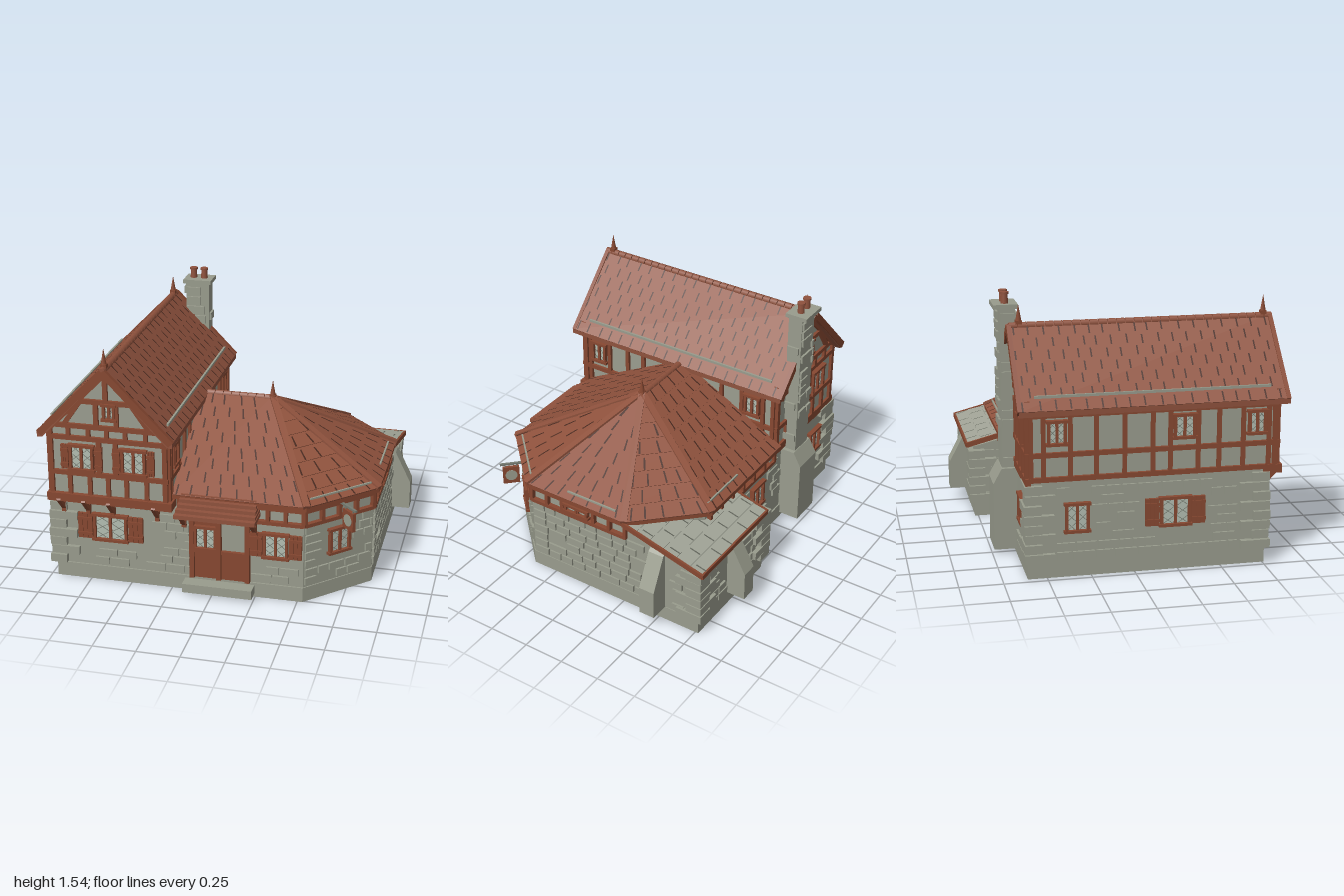
import * as THREE from 'three';

const material = (name, color, side = THREE.FrontSide) => {
  const m = new THREE.MeshStandardMaterial({ color, side });
  m.name = name;
  return m;
};

export function createModel() {
  const root = new THREE.Group();
  root.name = 'cottage';
  const stone = material('stone', 0x999c8d), plaster = material('plaster', 0x9a9d8f);
  const wood = material('timber', 0x874831), tile = material('roofTile', 0x8f523d, THREE.DoubleSide);
  const slate = material('slate', 0xa1a497, THREE.DoubleSide), glass = material('glass', 0xb4beb2);
  const gap = material('tileGap', 0x48291f, THREE.DoubleSide), slateGap = material('slateGap', 0x62655b, THREE.DoubleSide);
  const metal = material('lead', 0x757b71);
  let seed = 7;
  const rand = () => (seed = (seed * 16807) % 2147483647) / 2147483647;
  const V = (x, y, z) => new THREE.Vector3(x, y, z);

  const add = (parent, name, geo, mat) => {
    const m = new THREE.Mesh(geo, mat);
    m.name = name;
    parent.add(m);
    return m;
  };
  // box from min and max corners
  const box = (parent, name, mat, x0, x1, y0, y1, z0, z1) => {
    const m = add(parent, name, new THREE.BoxGeometry(x1 - x0, y1 - y0, z1 - z0), mat);
    m.position.set((x0 + x1) / 2, (y0 + y1) / 2, (z0 + z1) / 2);
  };
  // box running from p to q in the parent's own frame
  const bar = (parent, name, mat, p, q, w, h = w) => {
    const m = add(parent, name, new THREE.BoxGeometry(w, h, p.distanceTo(q)), mat);
    m.position.copy(p).lerp(q, 0.5);
    m.quaternion.setFromRotationMatrix(new THREE.Matrix4().lookAt(q, p, V(0, 1, 0)));
  };
  const extrude = (pts, depth) => new THREE.ExtrudeGeometry(
    new THREE.Shape(pts.map(p => new THREE.Vector2(...p))), { depth, bevelEnabled: false });
  const slab = (name, mat, pts, y0, y1) =>
    add(root, name, extrude(pts.map(([x, z]) => [x, -z]), y1 - y0).rotateX(-Math.PI / 2).translate(0, y0, 0), mat);
  const prismZ = (name, mat, pts, z0, z1) => add(root, name, extrude(pts, z1 - z0).translate(0, 0, z0), mat);
  const prismX = (name, mat, pts, x0, x1) =>
    add(root, name, extrude(pts.map(([z, y]) => [-z, y]), x1 - x0).rotateY(Math.PI / 2).translate(x0, 0, 0), mat);

  // roof plane between eave a-b and ridge d-c, with dark joints; lip > 0 gives stepped courses
  const roofFace = (name, a, b, c, d, rows, pitch, lip = 0, mat = tile, jointMat = gap) => {
    const n = b.clone().sub(a).cross(d.clone().sub(a)).normalize();
    const at = (s, t, lift) => a.clone().lerp(b, s).lerp(d.clone().lerp(c, s), t).addScaledVector(n, lift);
    const pos = [], joints = [];
    const quad = (out, ...p) => [0, 1, 2, 0, 2, 3].forEach(i => out.push(p[i].x, p[i].y, p[i].z));
    const courses = lip ? rows : 1, base = 0.004;
    for (let i = 0; i < courses; i++) {
      const t0 = i / courses, t1 = (i + 1) / courses;
      quad(pos, at(0, t0, base + lip), at(1, t0, base + lip), at(1, t1, base), at(0, t1, base));
      quad(pos, at(0, t0, 0), at(1, t0, 0), at(1, t0, base + lip), at(0, t0, base + lip));
    }
    for (let i = 0; i < rows; i++) {
      const t0 = i / rows, len = at(0, t0 + 1 / rows, 0).distanceTo(at(1, t0 + 1 / rows, 0)), count = Math.floor(len / pitch);
      for (let k = 0; k < count; k++) {
        const s = (k + 0.2 + 0.45 * (i % 2) + 0.25 * rand()) / count, e = 0.0045 / len;
        const ta = t0 + 0.1 * rand() / rows, tb = ta + 0.75 / rows, up = base + lip + 0.002;
        if (s < 0.98) quad(joints, at(s - e, ta, up), at(s + e, ta, up), at(s + e, tb, up), at(s - e, tb, up));
      }
    }
    [[pos, mat, name], [joints, jointMat, name + 'Joints']].forEach(([p, m, label]) => {
      const g = new THREE.BufferGeometry();
      g.setAttribute('position', new THREE.Float32BufferAttribute(p, 3));
      g.computeVertexNormals();
      add(root, label, g, m);
    });
  };

  // wall frame: local x along the wall, local z outward
  const wall = (name, x, z, turn) => {
    const g = new THREE.Group();
    g.name = name;
    g.position.set(x, 0, z);
    g.rotation.y = turn;
    root.add(g);
    return g;
  };
  const stones = (w, x0, x1, y0, y1, density, holes = []) => {
    const n = Math.round((y1 - y0) / 0.057), h = (y1 - y0) / n;
    for (let r = 0; r < n; r++) {
      const y = y0 + r * h;
      for (let x = x0; x < x1 - 0.02;) {
        const e = Math.min(x1, x + 0.075 + rand() * 0.065), s = x;
        x = e;
        const hit = holes.some(([hx, hy, hw, hh]) => e > hx - hw / 2 && s < hx + hw / 2 && y + h > hy - hh / 2 && y < hy + hh / 2);
        if (!hit && rand() < density) box(w, 'stoneBlock', stone, s + 0.005, e - 0.005, y + 0.005, y + h - 0.005, -0.01, 0.013);
      }
    }
  };
  const timbers = (w, list, t = 0.028) => list.forEach(([x0, y0, x1, y1]) =>
    bar(w, 'timberBeam', wood, V(x0, y0, 0.003), V(x1, y1, 0.003), ...(x0 === x1 ? [t, 0.03] : [0.03, t])));
  const leadedWindow = (w, x, y, W, H, shutter = 0) => {
    const g = new THREE.Group();
    g.name = 'window';
    g.position.set(x, y, 0);
    w.add(g);
    const a = W / 2, b = H / 2, f = 0.016;
    box(g, 'pane', glass, -a, a, -b, b, 0, 0.008);
    for (const s of [-1, 1]) {
      box(g, 'frameSide', wood, s * a - f / 2, s * a + f / 2, -b, b, 0, 0.026);
      box(g, 'frameRail', wood, -a - f, a + f, s * b - f / 2, s * b + f / 2, 0, 0.03);
      for (let k = 0; k < 3; k++) for (const d of [-1, 1]) {
        const y0 = -b + H * k / 3, y1 = y0 + H / 3;
        bar(g, 'leadLattice', metal, V(s * a * 0.06, d > 0 ? y0 : y1, 0.009), V(s * a, d > 0 ? y1 : y0, 0.009), 0.003);
      }
      if (shutter) {
        const c = s * (a + 0.014 + shutter / 2);
        for (const k of [-1, 0, 1])
          box(g, 'shutterPlank', wood, c + (k - 0.46) * shutter / 3, c + (k + 0.46) * shutter / 3, -b, b, 0, 0.018);
        for (const k of [-0.6, 0.6]) box(g, 'shutterBatten', wood, c - shutter / 2, c + shutter / 2, k * b - 0.008, k * b + 0.008, 0.015, 0.025);
      }
    }
    box(g, 'mullion', wood, -f / 2, f / 2, -b, b, 0, 0.022);
  };

  // plinth and masonry
  slab('plinth', stone, [[-0.96, 0.76], [0.53, 0.76], [0.88, 0.41], [0.88, -0.77], [0.16, -0.77], [0.16, -0.61], [-0.96, -0.61]], 0, 0.09);
  slab('groundWalls', stone, [[-0.96, 0.75], [0.53, 0.75], [0.875, 0.405], [0.875, -0.28], [0.54, -0.6], [-0.96, -0.6]], 0.09, 0.48);
  box(root, 'wingMasonry', stone, -0.96, -0.2, 0.48, 0.56, -0.6, 0.75);
  slab('timberBand', plaster, [[-0.24, 0.74], [0.525, 0.74], [0.865, 0.4], [0.865, -0.27], [0.53, -0.59], [-0.24, -0.59]], 0.48, 0.6);
  prismX('annexWalls', stone, [[-0.25, 0.09], [-0.77, 0.09], [-0.77, 0.45], [-0.25, 0.575]], 0.17, 0.875);
  box(root, 'upperFloor', plaster, -0.95, -0.25, 0.55, 0.97, -0.6, 0.82);
  prismZ('gables', plaster, [[-0.95, 0.965], [-0.25, 0.965], [-0.6, 1.345]], -0.6, 0.82);

  const front = wall('frontWall', 0, 0.75, 0), left = wall('leftWall', -0.96, 0, -Math.PI / 2);
  const right = wall('rightWall', 0.875, 0, Math.PI / 2), back = wall('backWall', 0, -0.6, Math.PI);
  const corner = wall('cornerWall', 0.7025, 0.5775, Math.PI / 4), annexBack = wall('annexBackWall', 0, -0.77, Math.PI);
  const annexSide = wall('annexSideWall', 0.17, 0, -Math.PI / 2);
  stones(front, -0.8, -0.14, 0.1, 0.53, 0.7, [[-0.62, 0.35, 0.42, 0.2]]);
  stones(front, 0.22, 0.53, 0.1, 0.48, 0.6, [[0.37, 0.35, 0.32, 0.18]]);
  stones(left, -0.45, 0.6, 0.1, 0.53, 0.85, [[-0.33, 0.35, 0.15, 0.2], [0.23, 0.35, 0.36, 0.2]]);
  stones(right, -0.4, 0.75, 0.1, 0.48, 0.97, [[0.5, 0.3, 0.12, 0.4]]);
  stones(corner, -0.24, 0.24, 0.1, 0.48, 0.95, [[0, 0.35, 0.18, 0.2]]);
  stones(back, -0.15, 0.8, 0.1, 0.5, 0.8, [[0.04, 0.35, 0.17, 0.2], [0.44, 0.3, 0.2, 0.6], [0.76, 0.35, 0.16, 0.2]]);
  stones(annexBack, -0.78, -0.26, 0.1, 0.43, 0.85, [[-0.52, 0.3, 0.1, 0.4]]);
  stones(annexSide, -0.74, -0.6, 0.1, 0.43, 0.8);
  leadedWindow(front, -0.62, 0.35, 0.19, 0.16, 0.09);
  leadedWindow(front, 0.37, 0.345, 0.13, 0.15, 0.075);
  leadedWindow(left, -0.33, 0.35, 0.12, 0.16);
  leadedWindow(left, 0.23, 0.35, 0.16, 0.16, 0.08);
  leadedWindow(corner, 0, 0.345, 0.13, 0.15);
  leadedWindow(back, 0.04, 0.35, 0.12, 0.15);
  leadedWindow(back, 0.76, 0.35, 0.12, 0.15);

  // alternating corner stones
  for (const [x, z, sx, sz, top] of [[-0.96, 0.75, -1, 1, 0.55], [-0.96, -0.6, -1, -1, 0.55], [0.875, -0.77, 1, -1, 0.44], [0.155, -0.775, -1, -1, 0.44]])
    for (let y = 0.095, i = 0; y + 0.05 < top; y += 0.057, i++) {
      const w = i % 2 ? 0.17 : 0.1, d = i % 2 ? 0.1 : 0.17, o = 0.022 + 0.012 * rand();
      const m = add(root, 'cornerStone', new THREE.BoxGeometry(w, 0.051, d), stone);
      m.position.set(x + sx * (o - w / 2), y + 0.027, z + sz * (o - d / 2));
    }

  // upper floor half-timbering
  for (const [z, turn] of [[0.82, 0], [-0.6, Math.PI]]) {
    const g = wall('gableWall', -0.6, z, turn);
    timbers(g, [[-0.37, 0.56, 0.37, 0.56]], 0.05);
    timbers(g, [[-0.36, 0.715, 0.36, 0.715], [-0.36, 0.935, 0.36, 0.935], [-0.36, 1.01, 0.36, 1.01], [-0.18, 1.165, 0.18, 1.165],
      [0, 1.165, 0, 1.32], [-0.06, 1.01, -0.06, 1.165], [0.06, 1.01, 0.06, 1.165], [-0.25, 1.02, -0.15, 1.165], [0.25, 1.02, 0.15, 1.165],
      [-0.05, 0.72, -0.05, 0.935], [0.05, 0.72, 0.05, 0.935]]);
    for (const x of [-0.23, -0.11, 0, 0.11, 0.23]) timbers(g, [[x, 0.58, x, 0.715], [x, 0.935, x, 1.01]], 0.025);
    for (const s of [-1, 1]) {
      timbers(g, [[s * 0.34, 0.56, s * 0.34, 0.99], [s * 0.35, 0.975, 0, 1.335]]);
      if (turn === 0 || s > 0) leadedWindow(g, s * 0.155, 0.815, 0.13, 0.15, turn === 0 ? 0.045 : 0);
      // bargeboards
      bar(g, 'bargeboard', wood, V(s * 0.39, 0.965, 0.048), V(0, 1.365, 0.048), 0.025, 0.04);
    }
    leadedWindow(g, 0.02, 1.11, 0.06, 0.09);
  }
  for (const [x, turn, s] of [[-0.95, -Math.PI / 2, 1], [-0.25, Math.PI / 2, -1]]) {
    const g = wall('upperSideWall', x, 0, turn);
    timbers(g, [0.575, 0.715, 0.94].map(y => [s * -0.6, y, s * 0.82, y]));
    for (const z of [-0.585, -0.515, -0.365, -0.22, -0.06, 0.1, 0.2, 0.36, 0.48, 0.62, 0.77, 0.805])
      timbers(g, [[s * z, 0.57, s * z, 0.95]], 0.024);
    for (const z of [-0.44, 0.7]) leadedWindow(g, s * z, 0.84, 0.09, 0.13);
    if (s > 0) leadedWindow(g, 0.28, 0.84, 0.11, 0.13);
  }
  for (const x of [-0.9, -0.75, -0.6, -0.33, -0.18]) {
    box(root, 'corbelPost', wood, x - 0.012, x + 0.012, 0.43, 0.55, 0.75, 0.775);
    bar(root, 'corbel', wood, V(x, 0.46, 0.765), V(x, 0.55, 0.85), 0.024);
  }
  box(root, 'jettyBeam', wood, -0.97, -0.22, 0.535, 0.585, 0.74, 0.85);

  // low wing timber band
  for (const [w, x0, x1, n] of [[front, -0.2, 0.53, 7], [corner, -0.24, 0.24, 4], [right, -0.4, 0.27, 6], [back, -0.5, 0.24, 6]]) {
    timbers(w, [[x0, 0.487, x1, 0.487], [x0, 0.578, x1, 0.578]], 0.022);
    for (let i = 0; i <= n; i++) {
      const x = x0 + (x1 - x0) * i / n;
      timbers(w, [[x, 0.48, x, 0.59]], 0.022);
    }
  }
  leadedWindow(right, -0.07, 0.54, 0.15, 0.045);

  // tall wing roof
  const E = 0.975, R = 1.375;
  prismZ('tallRoof', tile, [[-1, E], [-1, E - 0.03], [-0.97, E - 0.03], [-0.6, R - 0.035], [-0.23, E - 0.03], [-0.2, E - 0.03], [-0.2, E], [-0.6, R]], -0.65, 0.88);
  roofFace('tallRoofRight', V(-0.2, E, 0.88), V(-0.2, E, -0.65), V(-0.6, R, -0.65), V(-0.6, R, 0.88), 7, 0.085);
  roofFace('tallRoofLeft', V(-1, E, -0.65), V(-1, E, 0.88), V(-0.6, R, 0.88), V(-0.6, R, -0.65), 7, 0.085);
  const ridgeTile = (x, y, z, along) => {
    const m = add(root, 'ridgeTile', new THREE.CylinderGeometry(0.022, 0.022, 0.046, 8), tile);
    m.position.set(x, y, z);
    m.rotation[along === 'z' ? 'x' : 'z'] = Math.PI / 2;
  };
  for (let i = 0; i < 30; i++) ridgeTile(-0.6, R - 0.008, -0.622 + i * 0.051, 'z');
  for (let i = 0; i < 8; i++) ridgeTile(-0.18 + i * 0.051, 0.977, 0.07, 'x');
  for (const x of [-0.945, -0.255]) box(root, 'snowRail', stone, x - 0.006, x + 0.006, 1.035, 1.05, -0.56, 0.78);
  for (const [x, y, z] of [[-0.6, 1.38, 0.83], [-0.6, 1.38, -0.59], [0.2, 0.98, 0.07]]) {
    add(root, 'finialBase', new THREE.BoxGeometry(0.035, 0.04, 0.035), wood).position.set(x, y, z);
    add(root, 'finial', new THREE.ConeGeometry(0.018, 0.1, 8), wood).position.set(x, y + 0.062, z);
  }

  // hipped roof
  const eave = [[-0.24, 0.78], [0.55, 0.78], [0.91, 0.42], [0.91, -0.28], [0.55, -0.65], [-0.24, -0.65]];
  slab('hipEaves', wood, eave, 0.588, 0.613);
  const apex = V(0.2, 0.985, 0.07), start = V(-0.24, 0.985, 0.07), P = eave.map(([x, z]) => V(x, 0.613, z));
  [[apex, start, 0], [apex, apex, 0.004], [apex, apex, 0], [apex, apex, 0.004], [start, apex, 0.003]].forEach(([c, d, lip], i) =>
    roofFace('hipRoof', P[i], P[i + 1], c, d, 8, 0.08, lip));
  for (let i = 1; i < 5; i++) bar(root, 'hipTiles', tile, P[i].clone().add(V(0, 0.004, 0)), apex, 0.04, 0.024);
  bar(root, 'snowRail', stone, V(0.56, 0.645, 0.72), V(0.86, 0.645, 0.42), 0.01);
  box(root, 'snowRail', stone, 0.2, 0.53, 0.645, 0.655, -0.61, -0.6);
  box(root, 'snowRail', stone, 0.868, 0.878, 0.638, 0.648, -0.2, 0.14);

  // lean-to roof with buttresses
  prismX('annexRoof', slate, [[-0.27, 0.598], [-0.27, 0.57], [-0.81, 0.435], [-0.81, 0.46]], 0.19, 0.9);
  roofFace('annexSlates', V(0.9, 0.46, -0.81), V(0.19, 0.46, -0.81), V(0.19, 0.598, -0.27), V(0.9, 0.598, -0.27), 6, 0.12, 0.004, slate, slateGap);
  for (const x of [0.19, 0.905]) bar(root, 'annexVerge', wood, V(x, 0.455, -0.81), V(x, 0.595, -0.27), 0.014, 0.03);
  box(root, 'annexEave', wood, 0.185, 0.91, 0.44, 0.47, -0.815, -0.803);
  prismX('backButtress', stone, [[-0.75, 0.09], [-0.89, 0.09], [-0.89, 0.27], [-0.8, 0.44], [-0.75, 0.44]], 0.47, 0.57);
  prismZ('sideButtress', stone, [[0.86, 0.09], [0.995, 0.09], [0.995, 0.27], [0.895, 0.47], [0.86, 0.5]], -0.54, -0.44);

  // chimney
  prismX('chimneyBase', stone, [[-0.58, 0.03], [-0.74, 0.03], [-0.74, 0.43], [-0.69, 0.52], [-0.58, 0.52]], -0.54, -0.34);
  box(root, 'chimneyStack', stone, -0.515, -0.365, 0.5, 1.455, -0.685, -0.595);
  stones(wall('chimneyBack', -0.44, -0.685, Math.PI), -0.075, 0.075, 0.53, 1.43, 0.5);
  stones(wall('chimneyFront', -0.44, -0.595, 0), -0.075, 0.075, 1.18, 1.43, 0.5);
  for (const s of [-1, 1]) stones(wall('chimneySide', -0.44 + s * 0.075, -0.64, s * Math.PI / 2), -0.045, 0.045, 0.53, 1.43, 0.5);
  box(root, 'chimneyCap', stone, -0.53, -0.35, 1.45, 1.475, -0.72, -0.58);
  for (const x of [-0.477, -0.408]) {
    add(root, 'chimneyPot', new THREE.CylinderGeometry(0.018, 0.022, 0.07, 10), tile).position.set(x, 1.505, -0.65);
    add(root, 'potRim', new THREE.CylinderGeometry(0.025, 0.025, 0.012, 10), tile).position.set(x, 1.535, -0.65);
  }

  // doorway, step and porch
  box(root, 'doorStep', stone, -0.17, 0.245, 0.02, 0.075, 0.74, 0.84);
  box(front, 'doorLower', wood, -0.12, 0.2, 0.09, 0.265, 0, 0.012);
  box(front, 'doorUpper', wood, -0.12, 0.03, 0.265, 0.47, 0, 0.005);
  for (const x of [-0.125, 0.035, 0.205]) box(front, 'doorPost', wood, x - 0.014, x + 0.014, 0.09, 0.48, 0, 0.03);
  box(front, 'doorLintel', wood, -0.14, 0.22, 0.465, 0.5, 0, 0.03);
  box(front, 'doorRail', wood, -0.12, 0.2, 0.255, 0.275, 0, 0.022);
  leadedWindow(front, -0.045, 0.35, 0.12, 0.14);
  for (let i = 0; i < 5; i++)
    box(root, 'porchBoard', tile, -0.2 + i * 0.004, 0.275 - i * 0.004, 0.515 + i * 0.021, 0.54 + i * 0.021, 0.73, 0.89 - i * 0.028);
  for (const x of [-0.17, 0.245]) {
    box(root, 'porchPost', wood, x - 0.013, x + 0.013, 0.41, 0.52, 0.75, 0.775);
    bar(root, 'porchBrace', wood, V(x, 0.43, 0.765), V(x, 0.525, 0.865), 0.022);
  }

  // hanging sign
  const sign = wall('hangingSign', 0.705, 0.58, Math.PI / 4);
  box(sign, 'signArm', metal, -0.007, 0.007, 0.575, 0.587, 0, 0.16);
  box(sign, 'signBoard', wood, -0.01, 0.01, 0.445, 0.56, 0.045, 0.145);
  for (const s of [-1, 1]) {
    const disc = add(sign, 'signDisc', new THREE.CylinderGeometry(0.036, 0.036, 0.004, 20), stone);
    disc.rotation.z = Math.PI / 2;
    disc.position.set(s * 0.011, 0.503, 0.095);
    box(sign, 'signHanger', metal, -0.003, 0.003, 0.555, 0.58, 0.092 + s * 0.035, 0.098 + s * 0.035);
  }
  return root;
}
